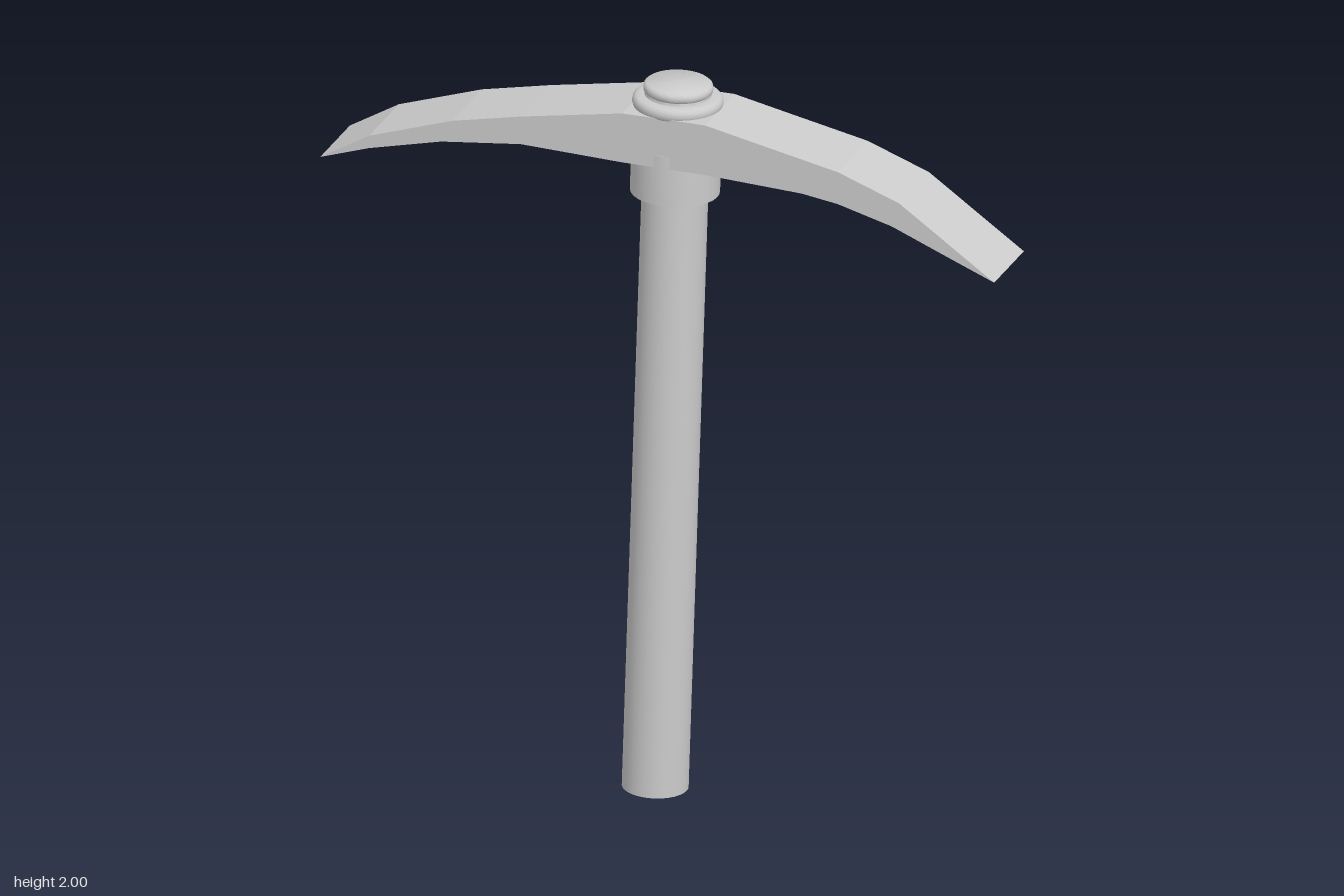
import * as THREE from 'three';
import { toCreasedNormals } from 'three/addons/utils/BufferGeometryUtils.js';

const material = new THREE.MeshStandardMaterial({ color: 0xcccccc });

function part(name, geometry, parent) {
  const mesh = new THREE.Mesh(geometry, material);
  mesh.name = name;
  parent.add(mesh);
  return mesh;
}

// Turned part from [radius, height] points, listed from the bottom up
function turned(points, segments = 32) {
  const profile = points.map(([r, y]) => new THREE.Vector2(r, y));
  return toCreasedNormals(new THREE.LatheGeometry(profile, segments), 0.7);
}

export function createModel() {
  const model = new THREE.Group();
  model.name = 'pickaxe';

  // Round parts share one slightly leaning axis
  const shaft = new THREE.Group();
  shaft.name = 'shaft';
  shaft.position.set(-0.033, 0.002, 0.038);
  shaft.rotation.set(-0.0225, 0, -0.024);
  model.add(shaft);

  part('handle', turned([[0, 0], [0.0875, 0], [0.0875, 1.93], [0, 1.93]]), shaft);
  part('collar', turned([[0.086, 1.69], [0.118, 1.69], [0.118, 1.83], [0.086, 1.83]]), shaft);

  // Stepped cap with two rounded rims
  part('cap', turned([
    [0, 1.92], [0.11, 1.925], [0.117, 1.932], [0.12, 1.943], [0.118, 1.954], [0.111, 1.961],
    [0.1, 1.963], [0.088, 1.963], [0.086, 1.97],
    [0.091, 1.975], [0.092, 1.983], [0.09, 1.991], [0.084, 1.996], [0, 1.996],
  ], 40), shaft);

  // Curved head, both ends tapering to a full-width edge
  const outline = [
    [-0.935, 1.69], [-0.8, 1.735], [-0.6, 1.783], [-0.38, 1.808], [-0.1, 1.798],
    [0.13, 1.796], [0.4, 1.783], [0.5, 1.768], [0.65, 1.727], [0.8, 1.665], [0.935, 1.61],
    [0.67, 1.795], [0.5, 1.858], [0.3, 1.9], [0.13, 1.936], [-0.1, 1.936],
    [-0.38, 1.886], [-0.57, 1.846], [-0.8, 1.77],
  ];
  const width = 0.23;
  const headGeometry = new THREE.ExtrudeGeometry(
    new THREE.Shape(outline.map(([x, y]) => new THREE.Vector2(x, y - 1.87))),
    { depth: width, bevelEnabled: false },
  );
  headGeometry.translate(0, 0, -width / 2);
  const head = part('head', headGeometry, model);
  head.position.set(0, 1.87, -0.003);
  head.rotation.set(-0.0225, 0.029, 0);

  return model;
}
